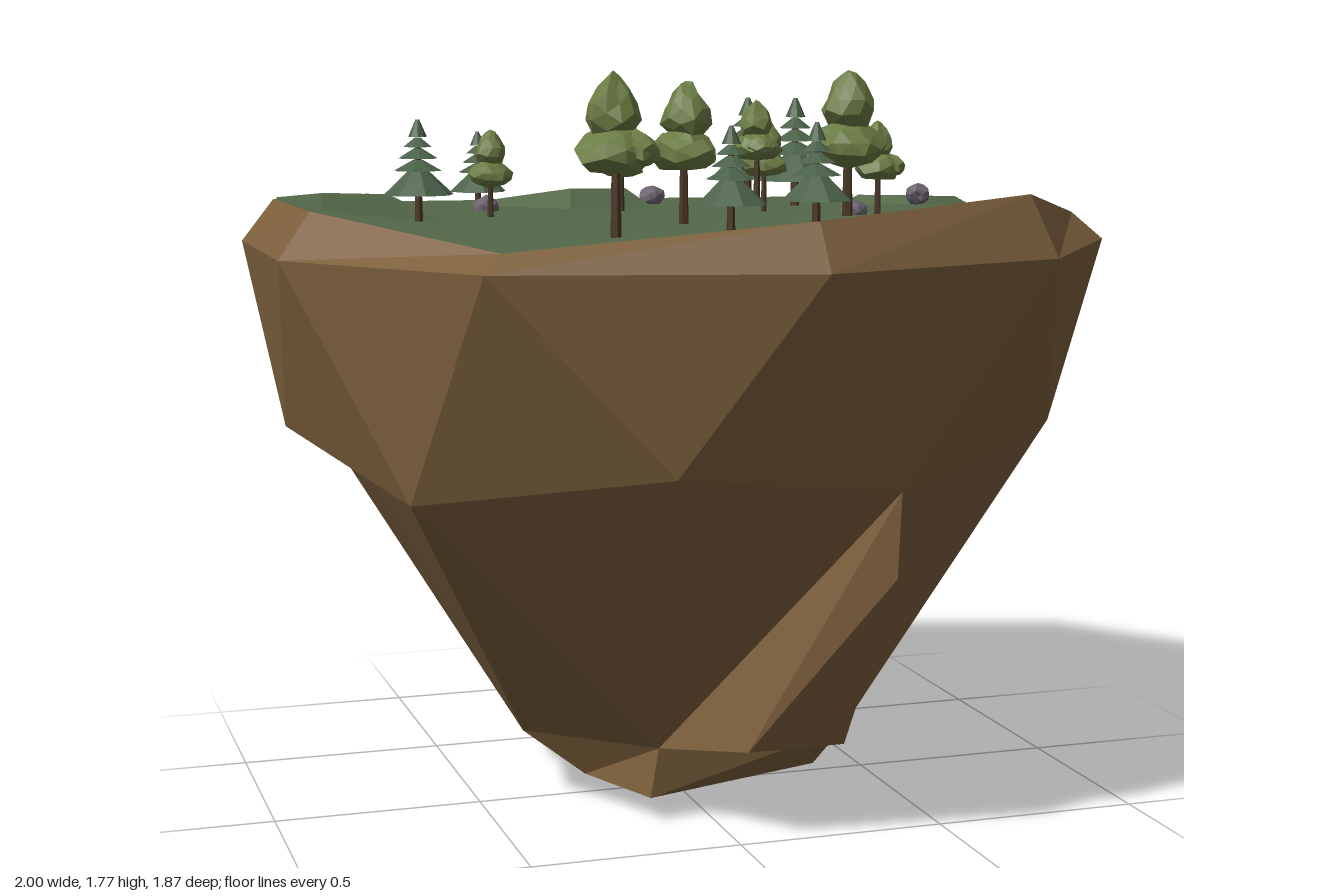
import * as THREE from 'three';

const material = (color) => new THREE.MeshStandardMaterial({ color, flatShading: true });
const EARTH = material(0x7d603d);
const GRASS = material(0x546849);
const PINE = material(0x4a6148);
const LEAF = material(0x6b7c43);
const BARK = material(0x4b3826);
const ROCK = material(0x6b6470);

function add(parent, name, geometry, mat, x = 0, y = 0, z = 0) {
  const mesh = new THREE.Mesh(geometry, mat);
  mesh.name = name;
  mesh.position.set(x, y, z);
  parent.add(mesh);
  return mesh;
}

// Collects triangles and turns each one away from an inner point.
function facets(inner) {
  const out = [];
  const centre = new THREE.Vector3(...inner);
  return {
    tri(...corners) {
      const [a, b, c] = corners.map((p) => new THREE.Vector3(...p));
      const normal = b.clone().sub(a).cross(c.clone().sub(a));
      const mid = a.clone().add(b).add(c).divideScalar(3).sub(centre);
      const order = normal.dot(mid) < 0 ? [a, c, b] : [a, b, c];
      order.forEach((v) => out.push(v.x, v.y, v.z));
    },
    quad(a, b, c, d) {
      this.tri(a, b, c);
      this.tri(a, c, d);
    },
    geometry() {
      const g = new THREE.BufferGeometry();
      g.setAttribute('position', new THREE.Float32BufferAttribute(out, 3));
      g.computeVertexNormals();
      return g;
    },
  };
}

// Rings run from the front towards +x.
const edge = [[0.04, 0.935], [0.65, 0.75], [1, 0.28], [1, -0.29], [0.65, -0.755],
  [0.04, -0.935], [-0.65, -0.755], [-1, -0.29], [-1, 0.28], [-0.65, 0.75]];
const rimY = [1.465, 1.5, 1.425, 1.41, 1.41, 1.405, 1.42, 1.46, 1.465, 1.4];
const meadowY = [1.43, 1.44, 1.42, 1.42, 1.41, 1.41, 1.42, 1.43, 1.43, 1.41];
const equator = edge.map(([x, z]) => [x, 1.36, z]);
const rim = edge.map(([x, z], i) => [x * 0.925, rimY[i], z * 0.935]);
const meadow = edge.map(([x, z], i) => [x * 0.6, meadowY[i], z * 0.6]);
const waist = [[0.28, 0.86, 0.76], [0.78, 0.95, 0.45], [0.92, 0.865, -0.03], [0.78, 0.95, -0.49],
  [0.28, 0.86, -0.76], [-0.25, 0.95, -0.8], [-0.77, 0.85, -0.5], [-0.95, 0.95, 0],
  [-0.76, 0.84, 0.5], [-0.25, 0.92, 0.8]];
const foot = [[0.36, 0.17, 0.22], [0.41, 0.17, -0.27], [-0.06, 0.27, -0.47], [-0.39, 0.17, 0], [-0.13, 0.18, 0.28]];

function earthGeometry() {
  // Extra corners that break the slopes: above a foot, and between two feet
  const ridge = [[], [], [[0.02, 0.64, -0.6]], [[-0.77, 0.845, 0]], []];
  const bulge = [[[0.65, 0.385, -0.12]], [], [], [], []];
  const f = facets([0.03, 0.65, 0]);
  for (let i = 0; i < 10; i++) {
    const n = (i + 1) % 10;
    f.quad(equator[i], equator[n], rim[n], rim[i]);
    f.tri(equator[i], equator[n], waist[i]);
    f.tri(waist[i], waist[n], equator[n]);
  }
  for (let i = 0; i < 5; i++) {
    const n = (i + 1) % 5;
    const fan = [waist[2 * i + 1], ...ridge[i], foot[i], ...bulge[i], foot[n], ...ridge[n], waist[(2 * i + 3) % 10]];
    for (let k = 0; k + 1 < fan.length; k++) f.tri(waist[(2 * i + 2) % 10], fan[k], fan[k + 1]);
    bulge[i].forEach((p) => f.tri(foot[i], p, foot[n]));
  }
  return f.geometry();
}

// Knobbly underside below the feet.
function baseGeometry() {
  const knob = [[0.33, 0.05, 0.1], [0.17, 0, -0.02], [-0.02, 0.05, -0.16], [-0.25, 0.065, 0.06], [-0.15, 0.06, 0.28]];
  const f = facets([0, 0.25, 0.03]);
  for (let i = 0; i < 5; i++) {
    const n = (i + 1) % 5;
    f.quad(foot[n], knob[n], knob[i], foot[i]);
    f.tri([-0.09, 0.01, 0.12], knob[i], knob[n]);
  }
  return f.geometry();
}

// Overhanging spur on the front slope.
function spurGeometry() {
  const [top, left, right] = [waist[0], foot[4], foot[0]];
  const nose = [0.28, 0.66, 0.74], lowLeft = [0.01, 0.225, 0.52], lowRight = [0.245, 0.225, 0.52];
  const f = facets([0.16, 0.4, 0.42]);
  f.quad(top, left, lowLeft, nose);
  f.tri(nose, lowLeft, lowRight);
  f.quad(top, nose, lowRight, right);
  f.quad(left, lowLeft, lowRight, right);
  return f.geometry();
}

function grassGeometry() {
  const f = facets([0, -5, 0]);
  for (let i = 0; i < 10; i++) {
    const n = (i + 1) % 10;
    f.quad(rim[i], rim[n], meadow[n], meadow[i]);
    f.tri(meadow[i], meadow[n], [0, 1.42, 0]);
  }
  return f.geometry();
}

// Low mound with a four-cornered base [x, z] and a smaller top [x, y, z].
function moundGeometry(base, top) {
  const lo = base.map(([x, z]) => [x, 1.4, z]);
  const f = facets([(top[0][0] + top[2][0]) / 2, 1.2, (top[0][2] + top[2][2]) / 2]);
  for (let i = 0; i < 4; i++) {
    const n = (i + 1) % 4;
    f.quad(lo[i], lo[n], top[n], top[i]);
  }
  f.quad(...top);
  return f.geometry();
}

// Faceted lump whose corners are pushed in and out by a rule.
function lumpGeometry(rx, ry, seed, taper) {
  const g = new THREE.IcosahedronGeometry(1, 1);
  const p = g.attributes.position;
  for (let i = 0; i < p.count; i++) {
    const x = p.getX(i), y = p.getY(i), z = p.getZ(i);
    const s = 1 + 0.14 * Math.sin(5 * x + seed) * Math.cos(4 * z + seed * 2 + 3 * y);
    const w = s * rx * (1 - taper * y);
    p.setXYZ(i, x * w, y * ry * s, z * w);
  }
  g.computeVertexNormals();
  return g;
}

function pineTree(x, y, z, s) {
  const tree = new THREE.Group();
  tree.name = 'pineTree';
  add(tree, 'pineTrunk', new THREE.CylinderGeometry(0.008, 0.012, 0.23, 6), BARK, 0, 0.095, 0);
  // Tiers: base radius, base height, cone height
  [[0.1, 0.055, 0.075], [0.068, 0.122, 0.03], [0.055, 0.156, 0.028], [0.041, 0.188, 0.026], [0.026, 0.216, 0.048]]
    .forEach(([r, h, t], i) => {
      const tier = add(tree, 'pineTier', new THREE.CylinderGeometry(r * 0.2, r, t, 8), PINE, 0, h + t / 2, 0);
      tier.rotation.y = i * 0.35;
    });
  tree.position.set(x, y, z);
  tree.scale.setScalar(s);
  return tree;
}

function leafyTree(x, y, z, s, seed) {
  const tree = new THREE.Group();
  tree.name = 'leafyTree';
  add(tree, 'leafyTrunk', new THREE.CylinderGeometry(0.009, 0.012, 0.18, 6), BARK, 0, 0.07, 0);
  add(tree, 'lowerCrown', lumpGeometry(0.078, 0.055, seed, 0.3), LEAF, 0, 0.185, 0);
  add(tree, 'sideCrown', lumpGeometry(0.05, 0.04, seed + 2, 0.25), LEAF, 0.035, 0.185, 0.025);
  add(tree, 'upperCrown', lumpGeometry(0.052, 0.07, seed + 4, 0.55), LEAF, -0.005, 0.282, 0);
  tree.position.set(x, y, z);
  tree.scale.set(s * 1.06, s, s * 1.06);
  tree.rotation.y = seed;
  return tree;
}

export function createModel() {
  const model = new THREE.Group();
  model.name = 'floatingIsland';
  add(model, 'earth', earthGeometry(), EARTH);
  add(model, 'base', baseGeometry(), EARTH);
  add(model, 'spur', spurGeometry(), EARTH);
  add(model, 'grass', grassGeometry(), GRASS);

  // Mounds on the meadow
  add(model, 'leftMound', moundGeometry([[-0.93, -0.27], [-0.56, -0.2], [-0.56, 0.21], [-0.92, 0.29]],
    [[-0.92, 1.465, -0.25], [-0.72, 1.475, -0.16], [-0.72, 1.49, 0.12], [-0.88, 1.5, 0.18]]), GRASS);
  add(model, 'backMound', moundGeometry([[-0.44, -0.5], [0.06, -0.64], [0.07, -0.33], [-0.19, -0.26]],
    [[-0.38, 1.425, -0.52], [0.02, 1.42, -0.6], [0.0, 1.46, -0.42], [-0.16, 1.465, -0.37]]), GRASS);
  add(model, 'rightMound', moundGeometry([[0.54, -0.36], [0.78, -0.52], [0.92, -0.28], [0.7, -0.2]],
    [[0.62, 1.435, -0.36], [0.76, 1.425, -0.47], [0.87, 1.43, -0.3], [0.72, 1.435, -0.26]]), GRASS);

  // Trees: x, ground height, z, size
  [[-0.32, 1.4, -0.71, 0.75], [0.4, 1.42, -0.61, 1], [0.42, 1.425, -0.3, 1],
    [-0.7, 1.46, 0.35, 0.78], [-0.13, 1.455, 0.79, 0.78], [0.06, 1.46, 0.79, 0.78]]
    .forEach((t) => model.add(pineTree(...t)));
  [[-0.305, 1.42, 0.535, 1], [0.3, 1.42, 0.365, 1], [-0.075, 1.42, 0.3, 0.93], [-0.17, 1.42, 0.08, 0.93],
    [0.15, 1.47, 0.165, 0.65], [0.46, 1.42, 0.16, 0.65], [-0.465, 1.42, 0.04, 0.6],
    [0.245, 1.42, -0.05, 0.65], [-0.075, 1.42, -0.2, 0.61]]
    .forEach((t, i) => model.add(leafyTree(...t, i * 1.3)));

  // Scattered stones
  [[0.11, 1.43, -0.54], [-0.42, 1.435, -0.19], [0.72, 1.445, -0.2], [0.38, 1.435, 0.21]].forEach((p, i) =>
    add(model, 'stone', lumpGeometry(0.032, 0.028, i * 2, 0), ROCK, ...p));
  return model;
}
